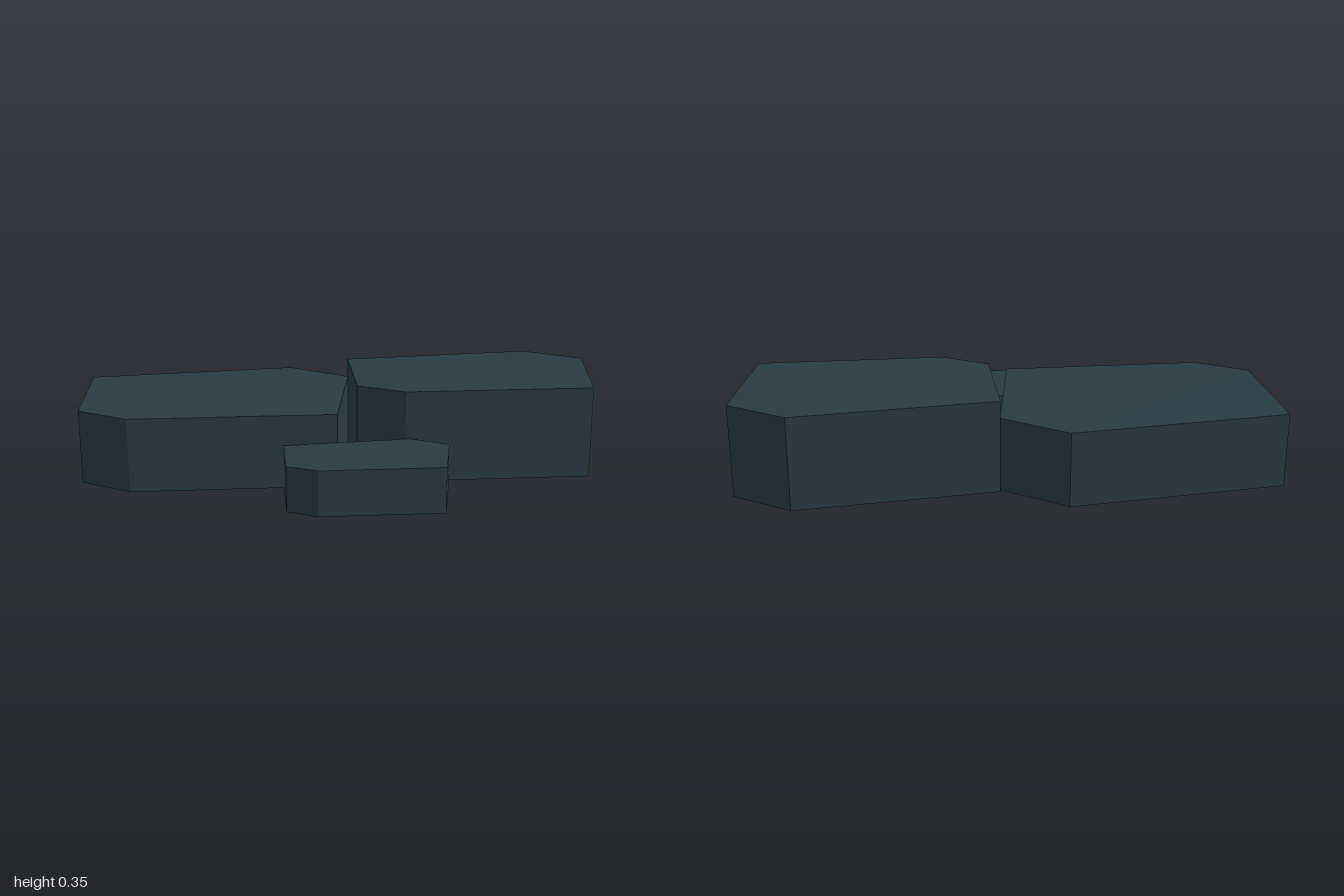
import * as THREE from 'three';

// Shared slab outline, as fractions of width (x) and depth (back to front)
const OUTLINE = [[0, 0.134], [0.78, 0], [1, 0.238], [0.918, 1], [0.18, 1], [0, 0.83]];

// Flat-topped stone: left edge x, back edge z, width, depth, height
function makeSlab(name, material, x, z, width, depth, height) {
  const shape = new THREE.Shape(
    OUTLINE.map(([u, v]) => new THREE.Vector2(x + u * width, -(z + v * depth)))
  );
  const geometry = new THREE.ExtrudeGeometry(shape, { depth: height, bevelEnabled: false });
  geometry.rotateX(-Math.PI / 2); // stand the extrusion upright on y = 0
  const slab = new THREE.Mesh(geometry, material);
  slab.name = name;
  return slab;
}

export function createModel() {
  const group = new THREE.Group();
  group.name = 'stoneSlabs';
  const stone = new THREE.MeshStandardMaterial({ color: 0x263b42 });
  stone.name = 'dark slate';

  group.add(
    makeSlab('wideSlab', stone, -1, -0.515, 1.04, 0.72, 0.28),
    makeSlab('tallSlab', stone, 0.04, -0.44, 0.96, 0.61, 0.35),
    makeSlab('smallSlab', stone, -0.245, 0.175, 0.61, 0.34, 0.17)
  );
  return group;
}
